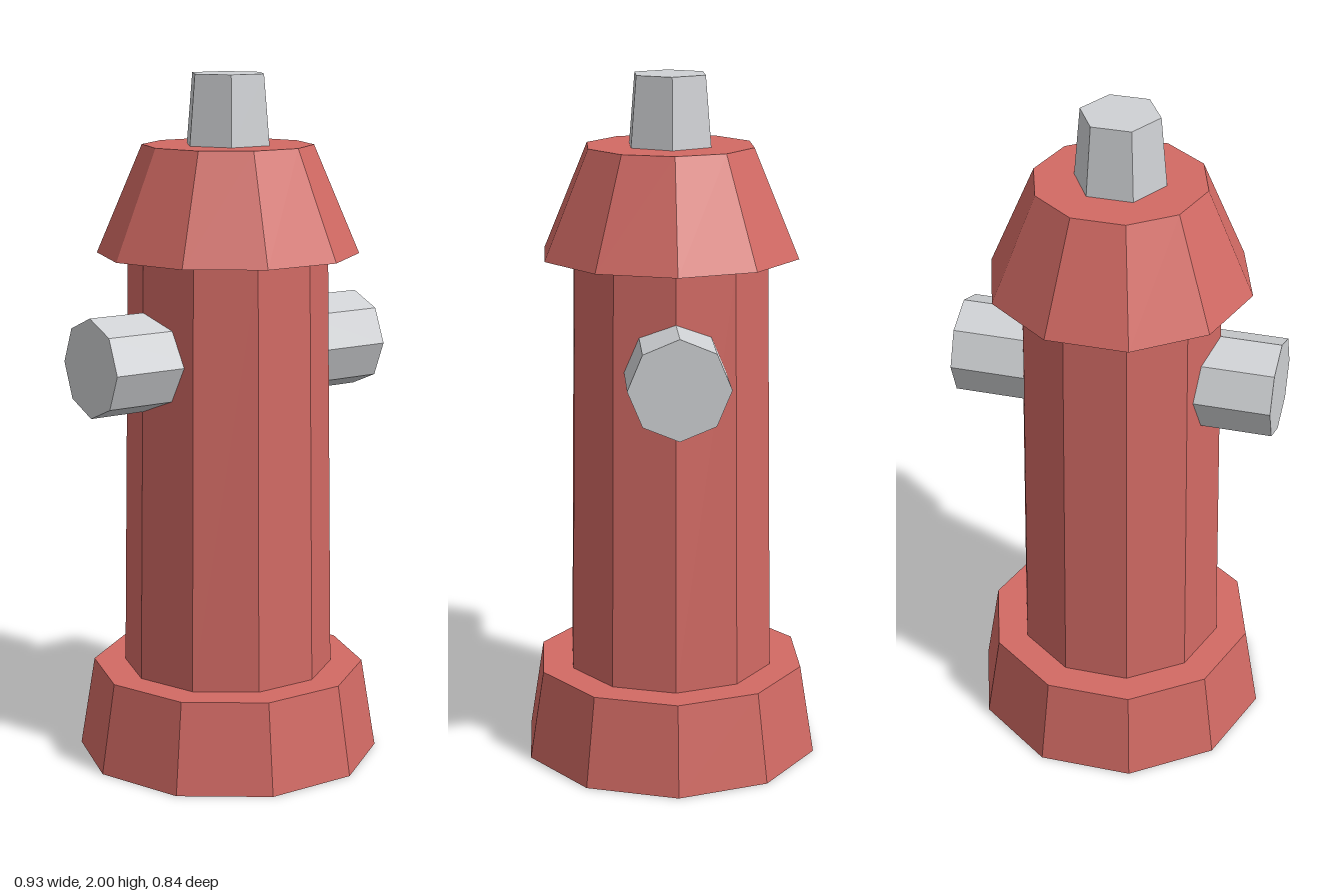
import * as THREE from 'three';

export function createModel() {
  const red = new THREE.MeshStandardMaterial({ color: 0xd26a64, flatShading: true });
  red.name = 'hydrant red';
  const grey = new THREE.MeshStandardMaterial({ color: 0xcfd1d4, flatShading: true });
  grey.name = 'metal grey';
  const model = new THREE.Group();
  model.name = 'fireHydrant';

  // Upright tapered prism with corners on the x axis
  function tier(name, material, sides, bottomRadius, topRadius, y0, y1) {
    const geometry = new THREE.CylinderGeometry(
      topRadius, bottomRadius, y1 - y0, sides, 1, false, Math.PI / 2);
    const mesh = new THREE.Mesh(geometry, material);
    mesh.name = name;
    mesh.position.y = (y0 + y1) / 2;
    model.add(mesh);
  }

  tier('base', red, 10, 0.443, 0.4, 0, 0.265);
  tier('barrel', red, 10, 0.307, 0.288, 0.265, 1.49);
  tier('bonnet', red, 10, 0.377, 0.245, 1.49, 1.8);
  tier('topNut', grey, 6, 0.13, 0.112, 1.8, 2);

  // Octagonal hose outlets, one on each side, sunk into the barrel
  for (const [name, side] of [['leftOutlet', 1], ['rightOutlet', -1]]) {
    const geometry = new THREE.CylinderGeometry(0.142, 0.142, 0.265, 8);
    geometry.rotateZ(-side * Math.PI / 2);
    const outlet = new THREE.Mesh(geometry, grey);
    outlet.name = name;
    outlet.position.set(side * 0.3325, 1.2, 0);
    model.add(outlet);
  }
  return model;
}
